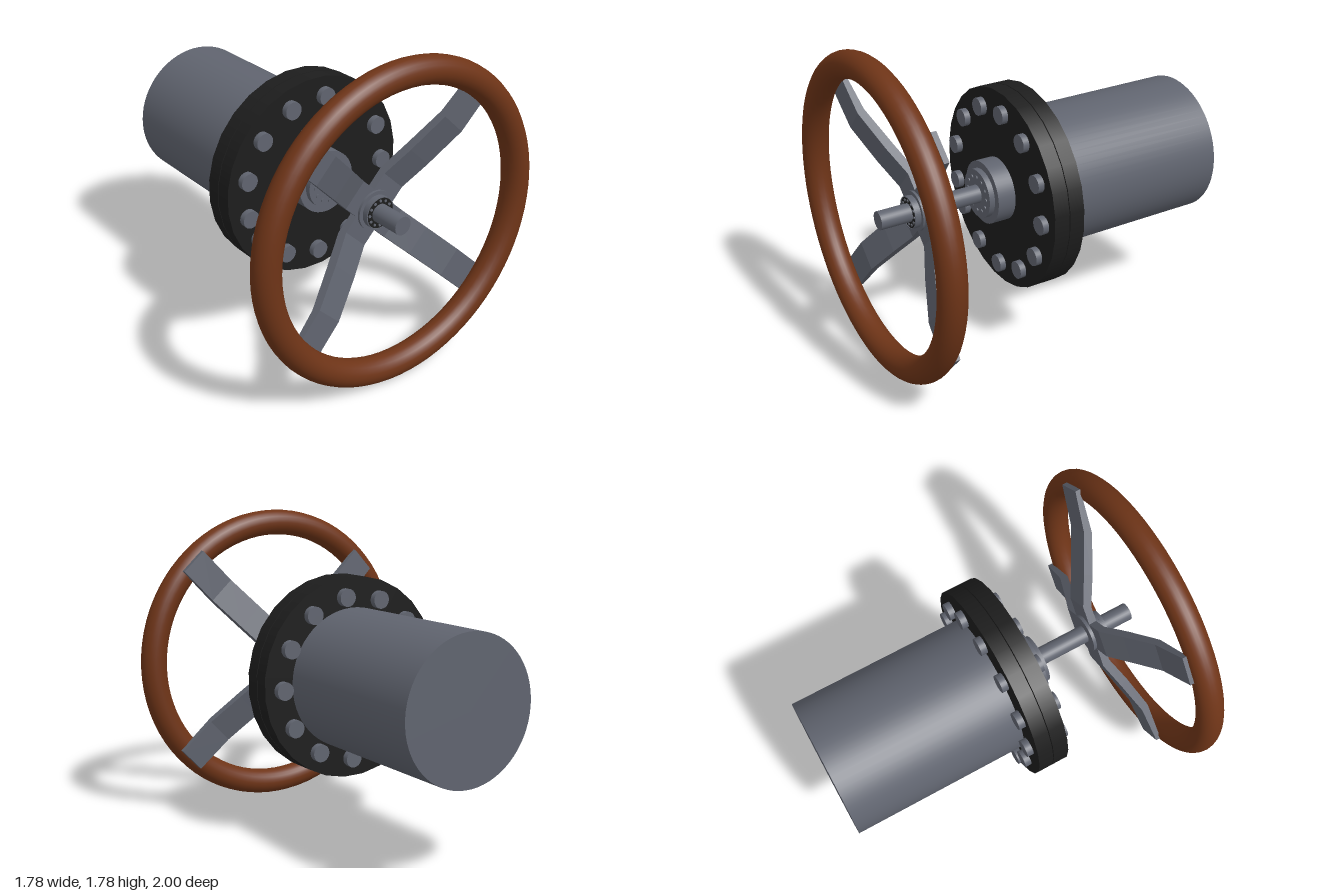
import * as THREE from 'three';

const steel = new THREE.MeshStandardMaterial({ color: 0x60646f });
const black = new THREE.MeshStandardMaterial({ color: 0x1d1d1d });
const rust = new THREE.MeshStandardMaterial({ color: 0x6e3417 });

// Cylinder lying along z, from z0 to z1
function disc(name, radius, z0, z1, material = steel, sides = 48) {
  const geometry = new THREE.CylinderGeometry(radius, radius, z1 - z0, sides);
  geometry.rotateY(Math.PI / sides).rotateX(Math.PI / 2);
  const mesh = new THREE.Mesh(geometry, material);
  mesh.name = name;
  mesh.position.z = (z0 + z1) / 2;
  return mesh;
}

// Small cylinders placed on a circle at the given angles (degrees)
function studs(name, angles, circle, radius, z0, z1, sides) {
  const group = new THREE.Group();
  group.name = name + 's';
  for (const degrees of angles) {
    const a = THREE.MathUtils.degToRad(degrees);
    const stud = disc(name, radius, z0, z1, steel, sides);
    stud.position.x = circle * Math.cos(a);
    stud.position.y = circle * Math.sin(a);
    group.add(stud);
  }
  return group;
}

const evenly = (count) => Array.from({ length: count }, (_, i) => (i * 360) / count);

// Flat ring facing +z with a short depth
function ring(name, outer, inner, z0, z1, material) {
  const shape = new THREE.Shape().absarc(0, 0, outer, 0, Math.PI * 2);
  shape.holes.push(new THREE.Path().absarc(0, 0, inner, 0, Math.PI * 2, true));
  const geometry = new THREE.ExtrudeGeometry(shape, { depth: z1 - z0, bevelEnabled: false, curveSegments: 32 });
  const mesh = new THREE.Mesh(geometry, material);
  mesh.name = name;
  mesh.position.z = z0;
  return mesh;
}

// Dished spoke: side profile (radius, z) extruded across its width
function spokeGeometry() {
  const width = 0.168;
  const profile = [
    [0.04, 0.662], [0.2, 0.662], [0.38, 0.727], [0.6, 0.802], [0.84, 0.828],
    [0.84, 0.857], [0.58, 0.845], [0.35, 0.772], [0.18, 0.708], [0.04, 0.708],
  ];
  const shape = new THREE.Shape(profile.map(([r, z]) => new THREE.Vector2(r, z)));
  const geometry = new THREE.ExtrudeGeometry(shape, { depth: width, bevelEnabled: false });
  return geometry.translate(0, 0, -width / 2).rotateX(Math.PI / 2);
}

export function createModel() {
  const model = new THREE.Group();
  model.name = 'valve';

  // Handwheel rim
  const rim = new THREE.Mesh(new THREE.TorusGeometry(0.817, 0.075, 24, 80), rust);
  rim.name = 'wheelRim';
  rim.position.set(0, 0.9, 0.925);
  model.add(rim);

  // Everything else shares one axis
  const body = new THREE.Group();
  body.name = 'valveBody';
  body.position.set(0.017, 0.897, 0);
  model.add(body);

  // Pipe and the pair of flanges with a narrow groove between them
  body.add(
    disc('pipe', 0.397, -1, 0.03, steel, 64),
    disc('rearFlange', 0.57, 0.02, 0.106, black, 28),
    disc('gasket', 0.54, 0.1, 0.116, black, 28),
    disc('frontFlange', 0.57, 0.111, 0.2, black, 28),
  );

  // Through bolts: even spacing, with one short gap where the circle closes
  const boltAngles = Array.from({ length: 12 }, (_, i) => 168 - i * 28.4);
  boltAngles.push(-164.3);
  body.add(studs('flangeBolt', boltAngles, 0.461, 0.05, -0.017, 0.235, 24));

  // Stepped bonnet and stem
  body.add(
    disc('bonnet', 0.178, 0.19, 0.305),
    disc('glandPlate', 0.138, 0.3, 0.337),
    studs('glandStud', evenly(12), 0.098, 0.011, 0.33, 0.343, 10),
    disc('stem', 0.051, 0.33, 0.93, steel, 32),
  );

  // Hub with a bearing on its front
  body.add(
    disc('hubBackPlate', 0.11, 0.643, 0.664),
    disc('hubCollar', 0.11, 0.66, 0.722),
    disc('hubBarrel', 0.089, 0.7, 0.748),
    ring('bearingOuterRing', 0.09, 0.085, 0.735, 0.757, steel),
    ring('bearingFace', 0.086, 0.048, 0.74, 0.753, black),
    studs('bearingRoller', evenly(12), 0.069, 0.008, 0.745, 0.757, 10),
  );

  // Four spokes
  const geometry = spokeGeometry();
  for (let i = 0; i < 4; i++) {
    const spoke = new THREE.Mesh(geometry, steel);
    spoke.name = 'spoke';
    spoke.rotation.z = THREE.MathUtils.degToRad(47.4 + i * 90);
    body.add(spoke);
  }

  return model;
}
